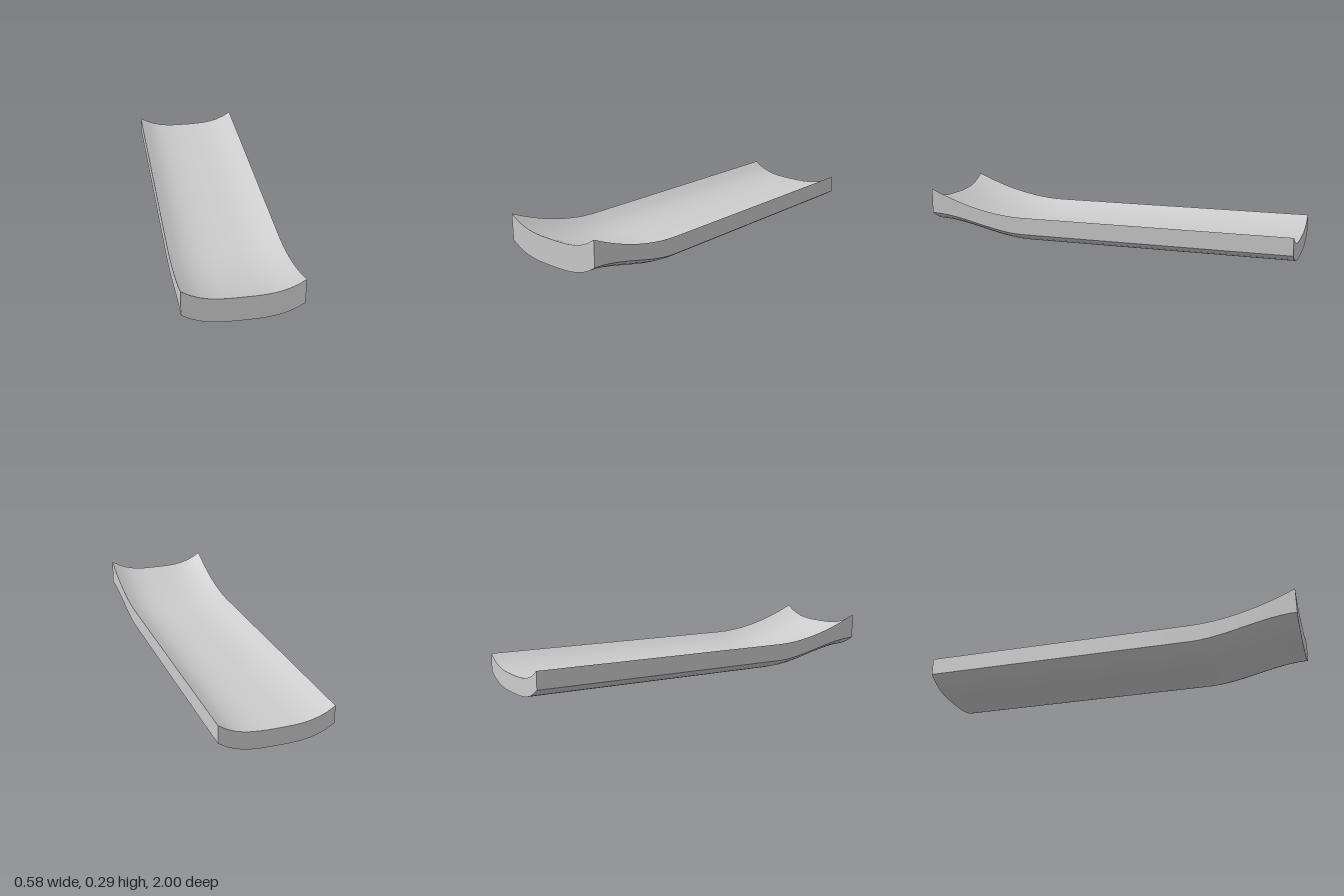
import * as THREE from 'three';

const HALF_WIDTH = 0.29;
const BEND_START = 0.45; // z where the front lip begins to rise

// Cross-section sag: flat in the middle, curling up towards both sides
const curl = (x) => 0.066 * Math.pow(Math.abs(x) / HALF_WIDTH, 3.2);

// The upper face sweeps up, the lower face follows in an S and levels off
const bend = (z) => THREE.MathUtils.clamp((z - BEND_START) / (1 - BEND_START), 0, 1);
const topHeight = (z) => 0.094 + 0.13 * Math.pow(bend(z), 1.9);
const bottomHeight = (z) => 0.002 + 0.087 * THREE.MathUtils.smoothstep(z, BEND_START, 1);

export function createModel() {
  const group = new THREE.Group();
  group.name = 'curvedSlat';

  // Separate box faces keep the rims sharp while each face stays smooth
  const geometry = new THREE.BoxGeometry(2 * HALF_WIDTH, 1, 2, 14, 1, 48);
  const p = geometry.attributes.position;
  for (let i = 0; i < p.count; i++) {
    const x = p.getX(i);
    const z = p.getZ(i);
    const base = p.getY(i) > 0 ? topHeight(z) : bottomHeight(z);
    p.setY(i, base + curl(x));
  }
  geometry.computeVertexNormals();

  const slat = new THREE.Mesh(geometry, new THREE.MeshStandardMaterial({ color: 0xcccccc }));
  slat.name = 'slat';
  group.add(slat);
  return group;
}
